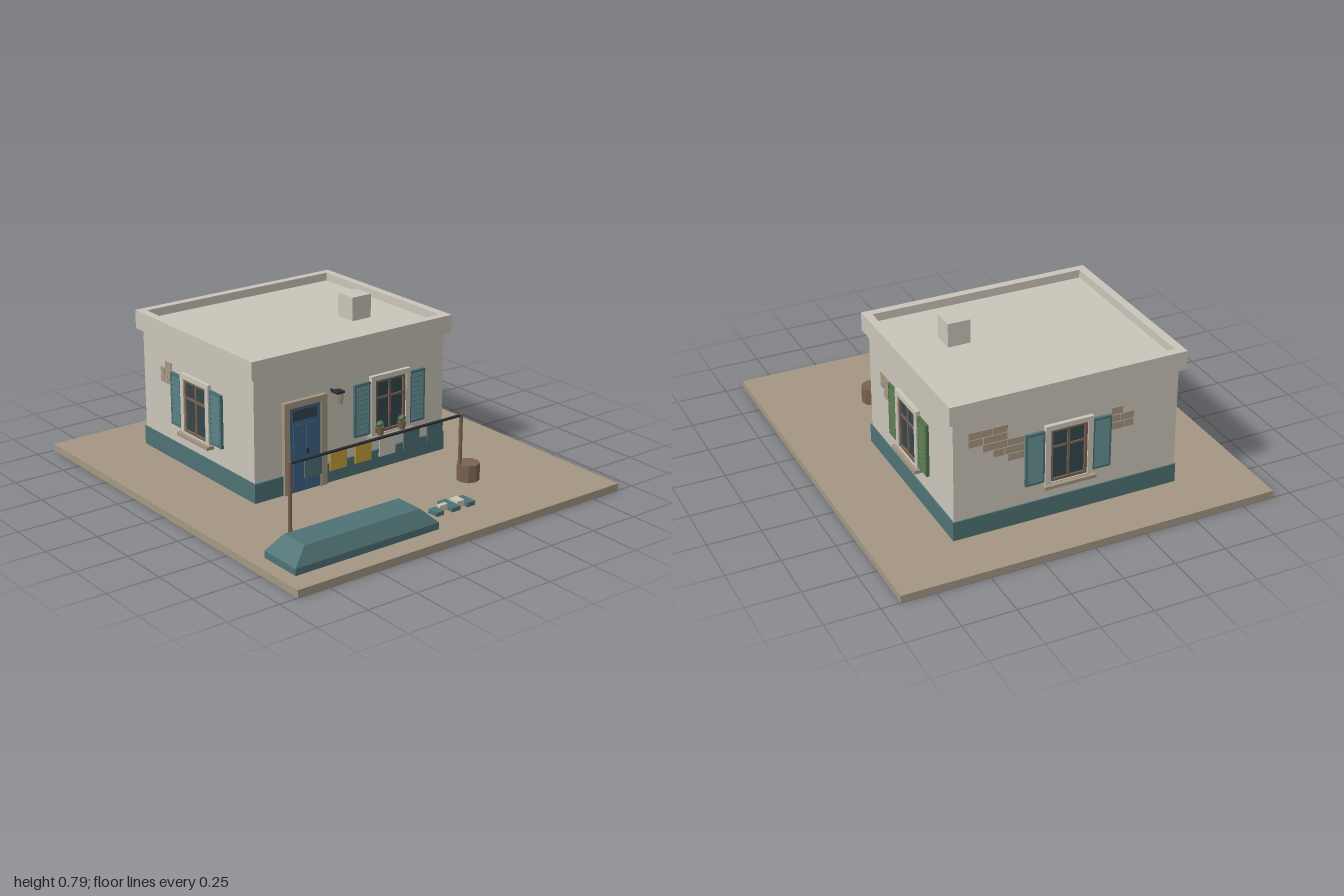
import * as THREE from 'three';

const mat = (name, color, extra = {}) => Object.assign(new THREE.MeshStandardMaterial({ color, ...extra }), { name });
const M = {
  plaster: mat('plaster', 0xcac5b9),
  teal: mat('teal', 0x4f7274),
  ground: mat('sandstone', 0xa49682),
  wood: mat('wood', 0x7a6252),
  glass: mat('dark glass', 0x33464c),
  blue: mat('door blue', 0x3f6485),
  yellow: mat('yellow cloth', 0xc8a03e),
  green: mat('green', 0x52704b),
  iron: mat('dark iron', 0x2a3034),
};

function add(parent, name, geo, material, x = 0, y = 0, z = 0) {
  const m = new THREE.Mesh(geo, material);
  m.name = name;
  m.position.set(x, y, z);
  parent.add(m);
  return m;
}

// Box given by its limits
function box(parent, name, material, x0, x1, y0, y1, z0, z1) {
  return add(parent, name, new THREE.BoxGeometry(x1 - x0, y1 - y0, z1 - z0), material,
    (x0 + x1) / 2, (y0 + y1) / 2, (z0 + z1) / 2);
}

// Rectangular ring in the xy plane, extruded along z
function ring(x0, x1, y0, y1, ix0, ix1, iy0, iy1, depth) {
  const rect = (T, a, b, c, d) => {
    const p = new T();
    p.moveTo(a, c); p.lineTo(b, c); p.lineTo(b, d); p.lineTo(a, d); p.closePath();
    return p;
  };
  const s = rect(THREE.Shape, x0, x1, y0, y1);
  s.holes.push(rect(THREE.Path, ix0, ix1, iy0, iy1));
  return new THREE.ExtrudeGeometry(s, { depth, bevelEnabled: false });
}

// Louvred shutter centred on x, against the wall plane z = 0
function shutter(parent, x, material) {
  const g = new THREE.Group();
  g.name = 'shutter';
  g.position.x = x;
  parent.add(g);
  box(g, 'shutterBack', material, -0.046, 0.046, 0.218, 0.475, 0, 0.008);
  add(g, 'shutterFrame', ring(-0.046, 0.046, 0.218, 0.475, -0.036, 0.036, 0.23, 0.463, 0.014), material);
  for (let i = 0; i < 10; i++) {
    const slat = add(g, 'slat', new THREE.BoxGeometry(0.072, 0.019, 0.004), material, 0, 0.242 + i * 0.0233, 0.012);
    slat.rotation.x = -0.5;
  }
}

// Window with surround, sill, glazing bars and two shutters
function windowUnit(parent, name, x, z, turn, shutterMaterial) {
  const g = new THREE.Group();
  g.name = name;
  g.position.set(x, 0, z);
  g.rotation.y = turn;
  parent.add(g);
  add(g, 'surround', ring(-0.116, 0.116, 0.205, 0.498, -0.09, 0.09, 0.213, 0.474, 0.02), M.plaster);
  add(g, 'sash', ring(-0.09, 0.09, 0.213, 0.474, -0.077, 0.077, 0.226, 0.461, 0.014), M.wood);
  box(g, 'pane', M.glass, -0.08, 0.08, 0.22, 0.468, 0, 0.005);
  box(g, 'verticalBar', M.wood, -0.006, 0.006, 0.22, 0.468, 0.002, 0.011);
  box(g, 'crossBar', M.wood, -0.08, 0.08, 0.378, 0.388, 0.002, 0.011);
  box(g, 'sill', M.ground, -0.127, 0.127, 0.19, 0.206, 0, 0.037);
  for (const s of [-1, 1]) shutter(g, s * 0.163, shutterMaterial);
  return g;
}

// Patch of exposed masonry: rows of [start, end], laid downward from the top
function bricks(parent, x, z, turn, top, rows) {
  const g = new THREE.Group();
  g.name = 'exposedBricks';
  g.position.set(x, 0, z);
  g.rotation.y = turn;
  parent.add(g);
  rows.forEach(([a, b], r) => {
    const y = top - r * 0.037;
    const cuts = b - a > 0.07 ? [a, a + (b - a) * (r % 2 ? 0.38 : 0.6), b] : [a, b];
    for (let i = 0; i + 1 < cuts.length; i++)
      box(g, 'brick', M.ground, cuts[i] + 0.0015, cuts[i + 1] - 0.0015, y - 0.034, y, 0, 0.004);
  });
}

// Covered heap: upright sides under a sloped top
function heapGeometry() {
  const loops = [[-0.84, -0.075, 0.67, 0.89, 0.035], [-0.84, -0.075, 0.67, 0.89, 0.067], [-0.765, -0.15, 0.707, 0.85, 0.137]]
    .map(([x0, x1, z0, z1, y]) => [[x0, y, z1], [x1, y, z1], [x1, y, z0], [x0, y, z0]]);
  const p = [];
  const quad = (a, b, c, d) => p.push(...a, ...b, ...c, ...a, ...c, ...d);
  for (let l = 0; l < 2; l++)
    for (let i = 0; i < 4; i++) {
      const j = (i + 1) % 4;
      quad(loops[l][i], loops[l][j], loops[l + 1][j], loops[l + 1][i]);
    }
  quad(...loops[2]);
  const geo = new THREE.BufferGeometry();
  geo.setAttribute('position', new THREE.Float32BufferAttribute(p, 3));
  geo.computeVertexNormals();
  return geo;
}

export function createModel() {
  const root = new THREE.Group();
  root.name = 'courtyardHouse';
  box(root, 'groundSlab', M.ground, -0.91, 0.91, 0, 0.035, -1, 1);

  // House body and roof
  const house = new THREE.Group();
  house.name = 'house';
  root.add(house);
  box(house, 'walls', M.plaster, -0.545, 0.545, 0.035, 0.66, -0.73, 0.18);
  box(house, 'plinth', M.teal, -0.551, 0.551, 0.035, 0.128, -0.736, 0.19);
  const parapet = add(house, 'parapet', ring(-0.57, 0.57, -0.205, 0.755, -0.53, 0.53, -0.165, 0.715, 0.09), M.plaster, 0, 0.62, 0);
  parapet.rotation.x = -Math.PI / 2;
  box(house, 'roofDeck', M.plaster, -0.535, 0.535, 0.63, 0.67, -0.72, 0.17);
  box(house, 'chimney', M.plaster, 0.215, 0.325, 0.66, 0.785, -0.205, -0.095);

  // Windows on all four walls
  const front = windowUnit(house, 'frontWindow', 0.215, 0.18, 0, M.teal);
  windowUnit(house, 'leftWindow', 0.545, -0.272, Math.PI / 2, M.green);
  windowUnit(house, 'rightWindow', -0.545, -0.272, -Math.PI / 2, M.teal);
  windowUnit(house, 'backWindow', 0, -0.73, Math.PI, M.teal);

  // Potted plants on the front sill
  for (const x of [-0.065, 0.065]) {
    add(front, 'flowerPot', new THREE.CylinderGeometry(0.021, 0.015, 0.04, 8), M.wood, x, 0.226, 0.021);
    const leaves = add(front, 'plant', new THREE.IcosahedronGeometry(0.022, 0), M.green, x, 0.258, 0.021);
    leaves.scale.set(1.05, 0.9, 0.85);
  }

  // Masonry showing through the plaster
  bricks(house, 0.545, 0, Math.PI / 2, 0.475, [[-0.05, 0.055], [-0.05, 0.055], [-0.01, 0.055]]);
  bricks(house, -0.545, 0, -Math.PI / 2, 0.51, [[-0.54, -0.482], [-0.58, -0.482], [-0.58, -0.482]]);
  bricks(house, 0, -0.73, Math.PI, 0.55,
    [[-0.475, -0.29], [-0.475, -0.29], [-0.41, -0.212], [-0.36, -0.212], [-0.29, -0.212]]);
  bricks(house, 0, -0.73, Math.PI, 0.50, [[0.212, 0.27], [0.212, 0.325], [0.212, 0.325]]);

  // Front door
  const door = new THREE.Group();
  door.name = 'frontDoor';
  house.add(door);
  add(door, 'doorSurround', ring(-0.395, -0.157, 0.03, 0.476, -0.365, -0.19, 0.035, 0.446, 0.022), M.ground, 0, 0, 0.18);
  box(door, 'doorLeaf', M.blue, -0.365, -0.19, 0.035, 0.446, 0.17, 0.193);
  box(door, 'doorLight', M.glass, -0.345, -0.21, 0.38, 0.43, 0.19, 0.196);
  for (const x of [-0.315, -0.24])
    for (const [a, b] of [[0.06, 0.19], [0.235, 0.36]])
      box(door, 'doorPanel', M.blue, x - 0.029, x + 0.029, a, b, 0.19, 0.197);
  box(door, 'doorHandle', M.iron, -0.269, -0.261, 0.215, 0.238, 0.19, 0.202);

  // Wall lantern
  const lamp = new THREE.Group();
  lamp.name = 'lantern';
  house.add(lamp);
  box(lamp, 'lanternArm', M.iron, -0.127, -0.115, 0.478, 0.486, 0.18, 0.25);
  box(lamp, 'lanternCap', M.iron, -0.144, -0.099, 0.483, 0.492, 0.213, 0.257);
  const shade = add(lamp, 'lanternBody', new THREE.CylinderGeometry(0.026, 0.021, 0.055, 4), M.ground, -0.121, 0.457, 0.235);
  shade.rotation.y = Math.PI / 4;

  // Washing line
  const line = new THREE.Group();
  line.name = 'washingLine';
  root.add(line);
  for (const x of [-0.608, 0.353])
    add(line, 'post', new THREE.CylinderGeometry(0.009, 0.009, 0.328, 6), M.wood, x, 0.199, 0.533);
  box(line, 'rope', M.iron, -0.608, 0.353, 0.352, 0.36, 0.526, 0.54);
  [[-0.485, M.teal], [-0.349, M.yellow], [-0.212, M.yellow], [-0.077, M.plaster], [0.061, M.teal], [0.197, M.teal]]
    .forEach(([x, m]) => box(line, 'cloth', m, x - 0.045, x + 0.045, 0.268, 0.354, 0.53, 0.536));

  // Barrel
  add(root, 'barrel', new THREE.CylinderGeometry(0.054, 0.054, 0.083, 9).toNonIndexed(),
    M.wood, 0.397, 0.0765, 0.543).geometry.computeVertexNormals();

  // Covered heap and the row of small blocks beside it
  add(root, 'coveredHeap', heapGeometry(), M.teal);
  const blocks = new THREE.Group();
  blocks.name = 'smallBlocks';
  root.add(blocks);
  for (const [x0, x1, z0, z1, h, m] of [
    [0, 0.043, 0.73, 0.787, 0.055, M.teal], [0.043, 0.088, 0.735, 0.757, 0.066, M.plaster],
    [0.088, 0.135, 0.69, 0.79, 0.055, M.teal], [0.135, 0.178, 0.715, 0.768, 0.066, M.plaster],
    [0.178, 0.225, 0.705, 0.787, 0.055, M.teal]])
    box(blocks, 'block', m, x0, x1, 0.035, h, z0, z1);

  return root;
}
